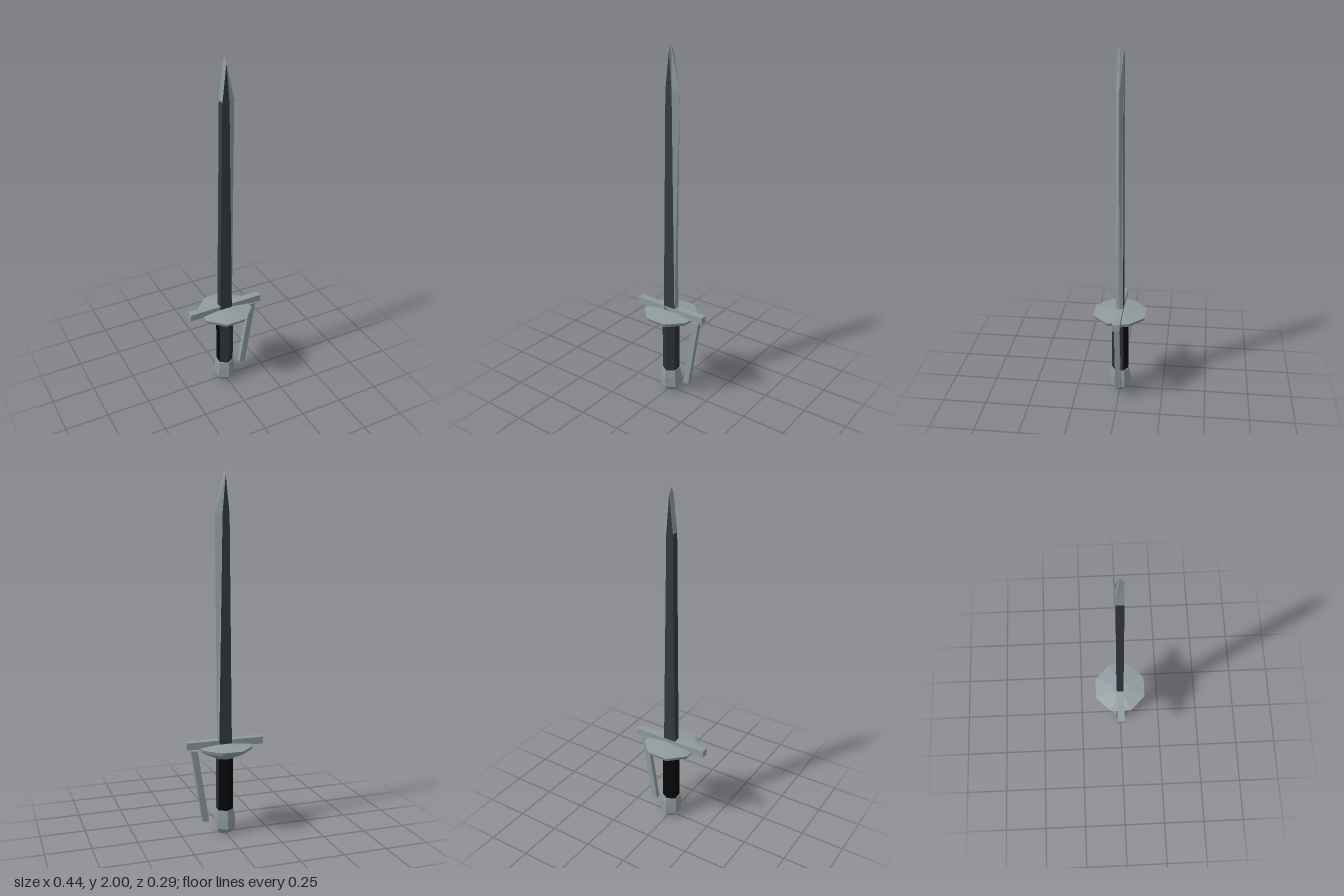
import * as THREE from 'three';

const material = (name, color, side = THREE.FrontSide) => {
  const m = new THREE.MeshStandardMaterial({ color, side, flatShading: true });
  m.name = name;
  return m;
};

// Flat-shaded geometry from convex polygons, each fanned into triangles
function polygons(faces) {
  const pos = [];
  for (const f of faces)
    for (let i = 1; i < f.length - 1; i++) pos.push(...f[0], ...f[i], ...f[i + 1]);
  const g = new THREE.BufferGeometry();
  g.setAttribute('position', new THREE.Float32BufferAttribute(pos, 3));
  g.computeVertexNormals();
  return g;
}

// Faceted solid of revolution; profile runs from the bottom up
function faceted(profile, sides, start = 0) {
  const pts = profile.map(([r, y]) => new THREE.Vector2(r, y));
  const g = new THREE.LatheGeometry(pts, sides, start).toNonIndexed();
  g.computeVertexNormals();
  return g;
}

export function createModel() {
  const group = new THREE.Group();
  const steel = material('steel', 0x8f9b9f);
  const darkSteel = material('dark steel', 0x343a42);
  const slate = material('slate grip', 0x2a3236);
  const black = material('black grip', 0x060606);

  const add = (name, geometry, mat, y = 0) => {
    const mesh = new THREE.Mesh(geometry, mat);
    mesh.name = name;
    mesh.position.y = y;
    group.add(mesh);
    return mesh;
  };

  // Blade: dark flats and spine, bright single cutting edge on +x
  const half = 0.02;
  const B0 = (s) => [-0.037, 0.5, s * half], B1 = (s) => [-0.022, 1.77, s * half];
  const S0 = (s) => [0.037, 0.5, s * half], S1 = (s) => [0.017, 1.77, s * half];
  const T = (s) => [0, 1.97, s * half];
  const E0 = [0.042, 0.5, 0], E1 = [0.054, 1.77, 0], apex = [0, 2, 0];
  const flats = [[B0(-1), B0(1), B1(1), B1(-1)]];
  const edge = [[B1(-1), B1(1), T(1), apex, T(-1)]];
  for (const s of [1, -1]) {
    const wind = (f) => (s > 0 ? f : f.reverse());
    flats.push(wind([B0(s), S0(s), S1(s), B1(s)]), wind([B1(s), S1(s), T(s)]));
    edge.push(wind([S0(s), E0, E1, S1(s)]), wind([S1(s), E1, apex, T(s)]));
  }
  add('bladeFlats', polygons(flats), darkSteel);
  add('bladeEdge', polygons(edge), steel);

  // Crossbar and octagonal dish guard
  add('crossbar', new THREE.BoxGeometry(0.444, 0.04, 0.04), steel, 0.52);
  add('dishGuard', faceted(
    [[0, 0.435], [0.044, 0.435], [0.15, 0.485], [0.158, 0.505], [0.05, 0.517], [0, 0.517]],
    8, Math.PI / 8), steel);

  // Knuckle bar: a box sheared outwards towards the top
  const bar = new THREE.BoxGeometry(0.036, 0.415, 0.028);
  const p = bar.attributes.position;
  for (let i = 0; i < p.count; i++) p.setX(i, p.getX(i) + 0.145 + p.getY(i) * 0.155);
  bar.computeVertexNormals();
  add('knuckleBar', bar, steel, 0.2825);

  // Hexagonal grip in two halves
  const third = Math.PI / 3;
  const gripHalf = (start) =>
    new THREE.CylinderGeometry(0.049, 0.049, 0.31, 3, 1, false, start, Math.PI);
  add('gripFront', gripHalf(-third), slate, 0.275);
  add('gripBack', gripHalf(2 * third), black, 0.275);

  // Hexagonal pommel
  add('pommel', faceted(
    [[0, 0], [0.036, 0], [0.06, 0.03], [0.06, 0.09], [0.054, 0.137], [0, 0.137]], 6), steel);

  return group;
}
